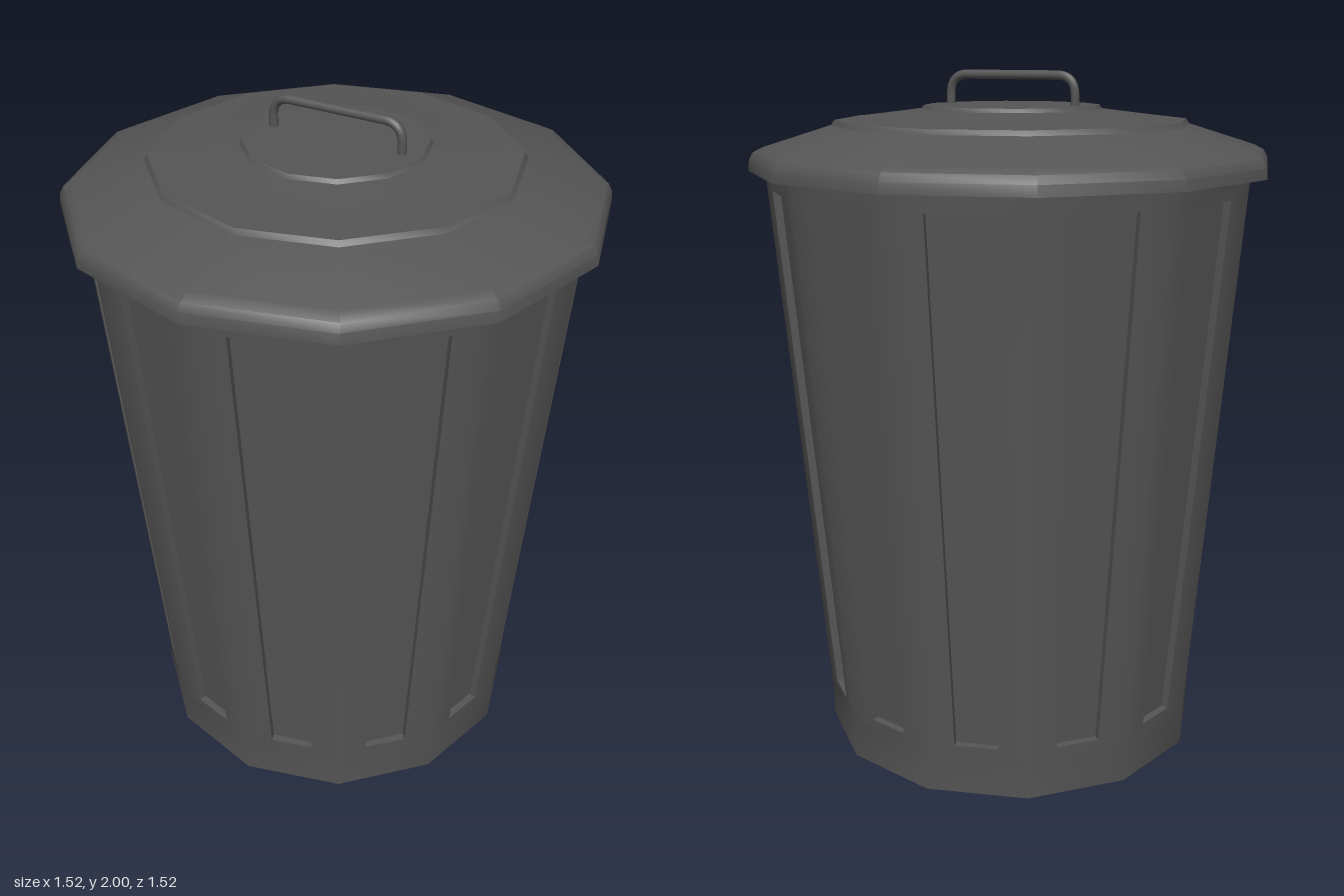
import * as THREE from 'three';
import { toCreasedNormals } from 'three/addons/utils/BufferGeometryUtils.js';

const SIDES = 12;
const CREASE = THREE.MathUtils.degToRad(36);
const material = new THREE.MeshStandardMaterial({ color: 0x555555 });

function part(name, geometry) {
  const mesh = new THREE.Mesh(geometry, material);
  mesh.name = name;
  return mesh;
}

// Tapered twelve-sided wall with a sunken panel in every side, and a flat base
function bodyGeometry() {
  const foot = 0.1, rim = 1.75, panelLow = 0.15, panelHigh = 1.67;
  const margin = 0.086, depth = 0.022;
  const radius = y => 0.573 + (y - foot) * 0.086;
  const positions = [];
  const quad = (a, b, c, d) => [a, b, c, a, c, d].forEach(p => positions.push(p.x, p.y, p.z));
  const corner = (i, r, y) => {
    const a = ((i % SIDES) / SIDES) * Math.PI * 2;
    return new THREE.Vector3(Math.sin(a) * r, y, Math.cos(a) * r);
  };

  for (let i = 0; i < SIDES; i++) {
    const outer = [
      corner(i, radius(foot), foot), corner(i + 1, radius(foot), foot),
      corner(i + 1, radius(rim), rim), corner(i, radius(rim), rim),
    ];
    // Panel opening keeps a constant margin from the side's edges
    const inset = (from, to, y) => {
      const a = corner(from, radius(y), y), b = corner(to, radius(y), y);
      return a.lerp(b, margin / a.distanceTo(b));
    };
    const opening = [
      inset(i, i + 1, panelLow), inset(i + 1, i, panelLow),
      inset(i + 1, i, panelHigh), inset(i, i + 1, panelHigh),
    ];
    const mid = ((i + 0.5) / SIDES) * Math.PI * 2;
    const inward = new THREE.Vector3(-Math.sin(mid), 0, -Math.cos(mid)).multiplyScalar(depth);
    const floor = opening.map(p => p.clone().add(inward));

    for (let k = 0; k < 4; k++) {
      const n = (k + 1) % 4;
      quad(outer[k], outer[n], opening[n], opening[k]);   // frame
      quad(opening[k], opening[n], floor[n], floor[k]);   // recess wall
    }
    quad(...floor);

    // Foot band and base
    const low = corner(i, 0.57, 0), lowNext = corner(i + 1, 0.57, 0);
    quad(low, lowNext, outer[1], outer[0]);
    [new THREE.Vector3(), lowNext, low].forEach(p => positions.push(p.x, p.y, p.z));
  }
  const geometry = new THREE.BufferGeometry();
  geometry.setAttribute('position', new THREE.Float32BufferAttribute(positions, 3));
  return toCreasedNormals(geometry, CREASE);
}

// Stepped lid with a rounded, overhanging lip
function lidGeometry() {
  const profile = [
    [0.69, 1.76], [0.735, 1.755], [0.74, 1.72], [0.76, 1.72], [0.757, 1.75],
    [0.745, 1.772], [0.715, 1.787], [0.52, 1.848], [0.51, 1.862],
    [0.5, 1.862], [0.262, 1.892], [0.254, 1.903], [0, 1.905],
  ].map(([r, y]) => new THREE.Vector2(r, y));
  return toCreasedNormals(new THREE.LatheGeometry(profile, SIDES), CREASE);
}

// Bent-rod handle
function handleGeometry() {
  const w = 0.197, top = 1.987, bend = 0.055;
  const v = (x, y) => new THREE.Vector3(x, y, 0);
  const path = new THREE.CurvePath();
  path.add(new THREE.LineCurve3(v(-w, 1.89), v(-w, top - bend)));
  path.add(new THREE.QuadraticBezierCurve3(v(-w, top - bend), v(-w, top), v(-w + bend, top)));
  path.add(new THREE.LineCurve3(v(-w + bend, top), v(w - bend, top)));
  path.add(new THREE.QuadraticBezierCurve3(v(w - bend, top), v(w, top), v(w, top - bend)));
  path.add(new THREE.LineCurve3(v(w, top - bend), v(w, 1.89)));
  return new THREE.TubeGeometry(path, 48, 0.013, 8);
}

export function createModel() {
  const group = new THREE.Group();
  group.name = 'trashCan';
  group.add(
    part('body', bodyGeometry()),
    part('lid', lidGeometry()),
    part('handle', handleGeometry()),
  );
  return group;
}
